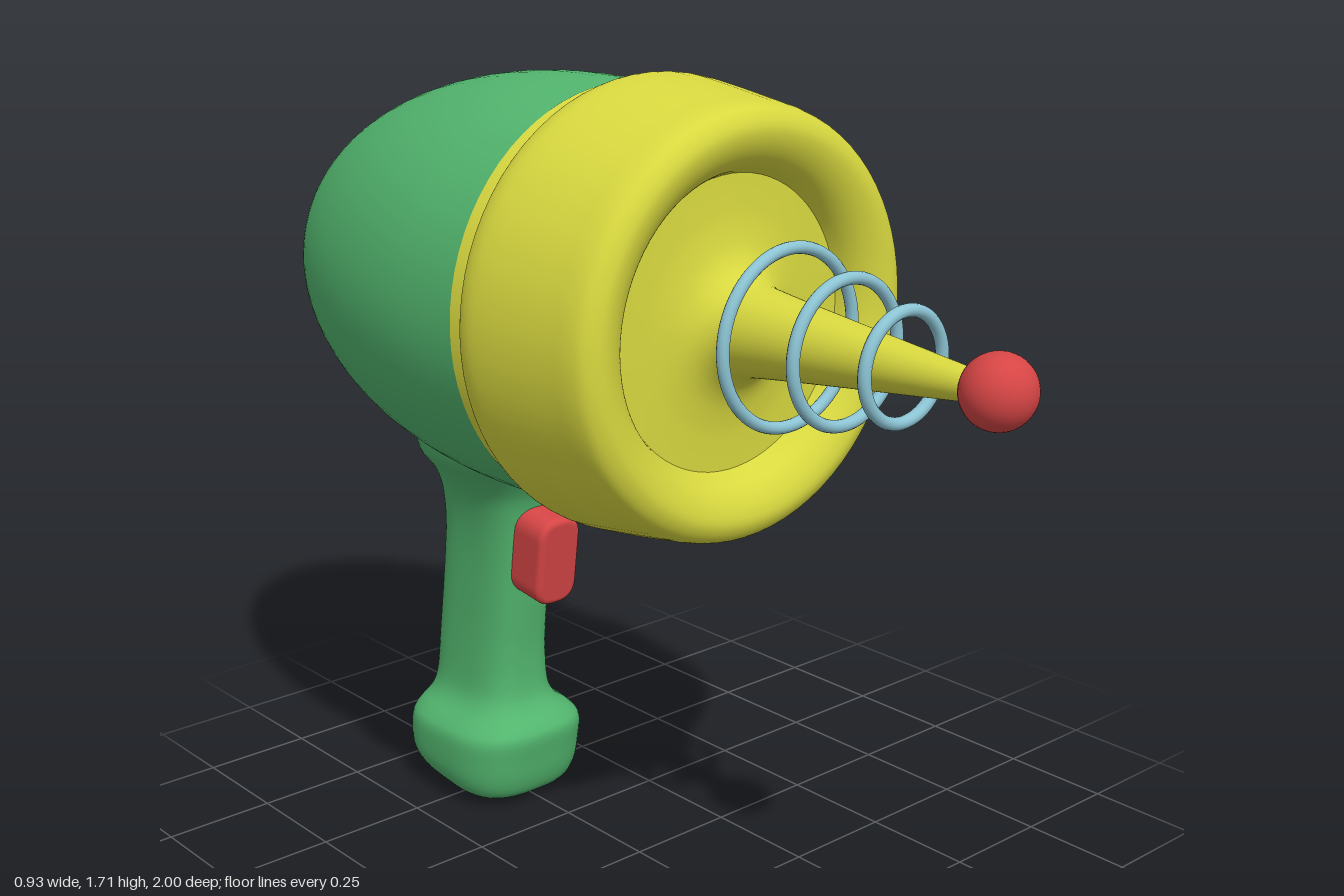
import * as THREE from 'three';

const AXIS_Y = 1.256;
const paint = (color) => new THREE.MeshStandardMaterial({ color, roughness: 0.6 });

export function createModel() {
  const model = new THREE.Group();
  const green = paint(0x52b56e), yellow = paint(0xd8d840), red = paint(0xd64545), blue = paint(0x8cc4d4);

  const add = (name, geometry, material, x = 0, y = 0, z = 0) => {
    const mesh = new THREE.Mesh(geometry, material);
    mesh.name = name;
    mesh.position.set(x, y, z);
    model.add(mesh);
    return mesh;
  };
  // Solid of revolution about the barrel axis; profile points are [radius, z], back to front
  const turned = (name, profile, material, smooth = 0) => {
    let pts = profile.map(([r, z]) => new THREE.Vector2(r, z));
    if (smooth) pts = new THREE.SplineCurve(pts).getPoints(smooth);
    const geometry = new THREE.LatheGeometry(pts, 72).rotateX(Math.PI / 2);
    return add(name, geometry, material, -0.002, AXIS_Y, 0);
  };

  // Egg-shaped body: half ellipse at the back, slight taper at the front
  const egg = [];
  for (let i = 0; i <= 32; i++) {
    const a = (i / 32) * Math.PI / 2;
    egg.push([0.442 * Math.sin(a), -0.2 - 0.8 * Math.cos(a)]);
  }
  egg.push([0.441, -0.13], [0.437, -0.05]);
  turned('body', egg, green);
  turned('bodyBand', [[0.436, -0.055], [0.431, -0.012], [0.425, 0.02]], yellow);

  // Thick collar with rounded corners and a dished front
  turned('collar', [
    [0.40, -0.012], [0.43, -0.012], [0.452, 0.002], [0.463, 0.035], [0.462, 0.08], [0.452, 0.16],
    [0.44, 0.24], [0.431, 0.295], [0.418, 0.325], [0.39, 0.341], [0.36, 0.338], [0.33, 0.322],
    [0.308, 0.298], [0.292, 0.265],
  ], yellow, 70);

  // Front plate flowing into the tapered antenna
  turned('antenna', [
    [0.294, 0.268], [0.25, 0.27], [0.2, 0.274], [0.15, 0.285], [0.115, 0.305], [0.094, 0.335],
    [0.085, 0.38], [0.066, 0.54], [0.046, 0.72], [0.028, 0.88],
  ], yellow, 60);

  // Floating rings and ball tip
  [[0.43, 0.172], [0.575, 0.138], [0.715, 0.103]].forEach(([z, r], i) =>
    add('antennaRing' + (i + 1), new THREE.TorusGeometry(r, 0.0125, 14, 64), blue, -0.004, AXIS_Y + 0.003, z));
  add('ballTip', new THREE.SphereGeometry(0.07, 36, 24), red, -0.006, AXIS_Y + 0.003, 0.93);

  add('grip', gripGeometry(), green, -0.013, 0, 0);

  // Trigger: rounded slab leaning with the grip
  const w = 0.042, h = 0.09, c = 0.034;
  const s = new THREE.Shape();
  s.moveTo(-w + c, -h);
  s.lineTo(w - c, -h).quadraticCurveTo(w, -h, w, -h + c);
  s.lineTo(w, h - c).quadraticCurveTo(w, h, w - c, h);
  s.lineTo(-w + c, h).quadraticCurveTo(-w, h, -w, h - c);
  s.lineTo(-w, -h + c).quadraticCurveTo(-w, -h, -w + c, -h);
  const slab = new THREE.ExtrudeGeometry(s, {
    depth: 0.12, bevelThickness: 0.014, bevelSize: 0.014, bevelSegments: 5, curveSegments: 10,
  }).translate(0, 0, -0.134);
  add('trigger', slab, red, -0.01, 0.622, -0.258).rotation.x = 0.13;

  return model;
}

// Grip lofted through rounded sections: [y, front z, back z, half width, back rise]
function gripGeometry() {
  const keys = [
    [0.005, -0.47, -0.54, 0.03, 0.01],
    [0.008, -0.41, -0.61, 0.10, 0.025],
    [0.03, -0.355, -0.67, 0.145, 0.035],
    [0.07, -0.332, -0.693, 0.165, 0.03],
    [0.13, -0.32, -0.695, 0.17, 0.015],
    [0.18, -0.313, -0.69, 0.167, 0],
    [0.205, -0.325, -0.678, 0.148, 0],
    [0.235, -0.355, -0.662, 0.115, 0],
    [0.28, -0.372, -0.654, 0.097, 0],
    [0.38, -0.372, -0.645, 0.09, 0],
    [0.5, -0.358, -0.63, 0.087, 0],
    [0.62, -0.345, -0.614, 0.088, 0],
    [0.7, -0.335, -0.605, 0.096, 0],
    [0.76, -0.322, -0.6, 0.112, 0],
    [0.81, -0.295, -0.597, 0.142, 0],
    [0.86, -0.265, -0.6, 0.185, 0],
    [0.93, -0.25, -0.6, 0.2, 0],
  ];
  const rows = (keys.length - 1) * 4, cols = 48;
  const positions = [], index = [];
  const round = (v) => Math.sign(v) * Math.abs(v) ** 0.68;
  // Catmull-Rom blend between neighbouring sections
  const sample = (t, k) => {
    const i = Math.min(Math.floor(t), keys.length - 2), f = t - i;
    const v = (j) => keys[Math.max(0, Math.min(keys.length - 1, j))][k];
    const [a, b, c, d] = [v(i - 1), v(i), v(i + 1), v(i + 2)];
    return b + 0.5 * f * (c - a + f * (2 * a - 5 * b + 4 * c - d + f * (3 * (b - c) + d - a)));
  };
  for (let r = 0; r <= rows; r++) {
    const [y, zf, zb, hw, rise] = [0, 1, 2, 3, 4].map((k) => sample(r / 4, k));
    for (let j = 0; j < cols; j++) {
      const a = (j / cols) * Math.PI * 2;
      const sx = round(Math.sin(a)), sz = round(Math.cos(a));
      positions.push(hw * sx, y + rise * (1 - sz) / 2, (zf + zb) / 2 + sz * (zf - zb) / 2);
      if (r === rows) continue;
      const p = r * cols + j, q = r * cols + (j + 1) % cols;
      index.push(p, q, q + cols, p, q + cols, p + cols);
    }
  }
  // Close the underside
  positions.push(0, 0.009, -0.505);
  for (let j = 0; j < cols; j++) index.push(positions.length / 3 - 1, (j + 1) % cols, j);
  const geometry = new THREE.BufferGeometry();
  geometry.setAttribute('position', new THREE.Float32BufferAttribute(positions, 3));
  geometry.setIndex(index);
  geometry.computeVertexNormals();
  return geometry;
}
